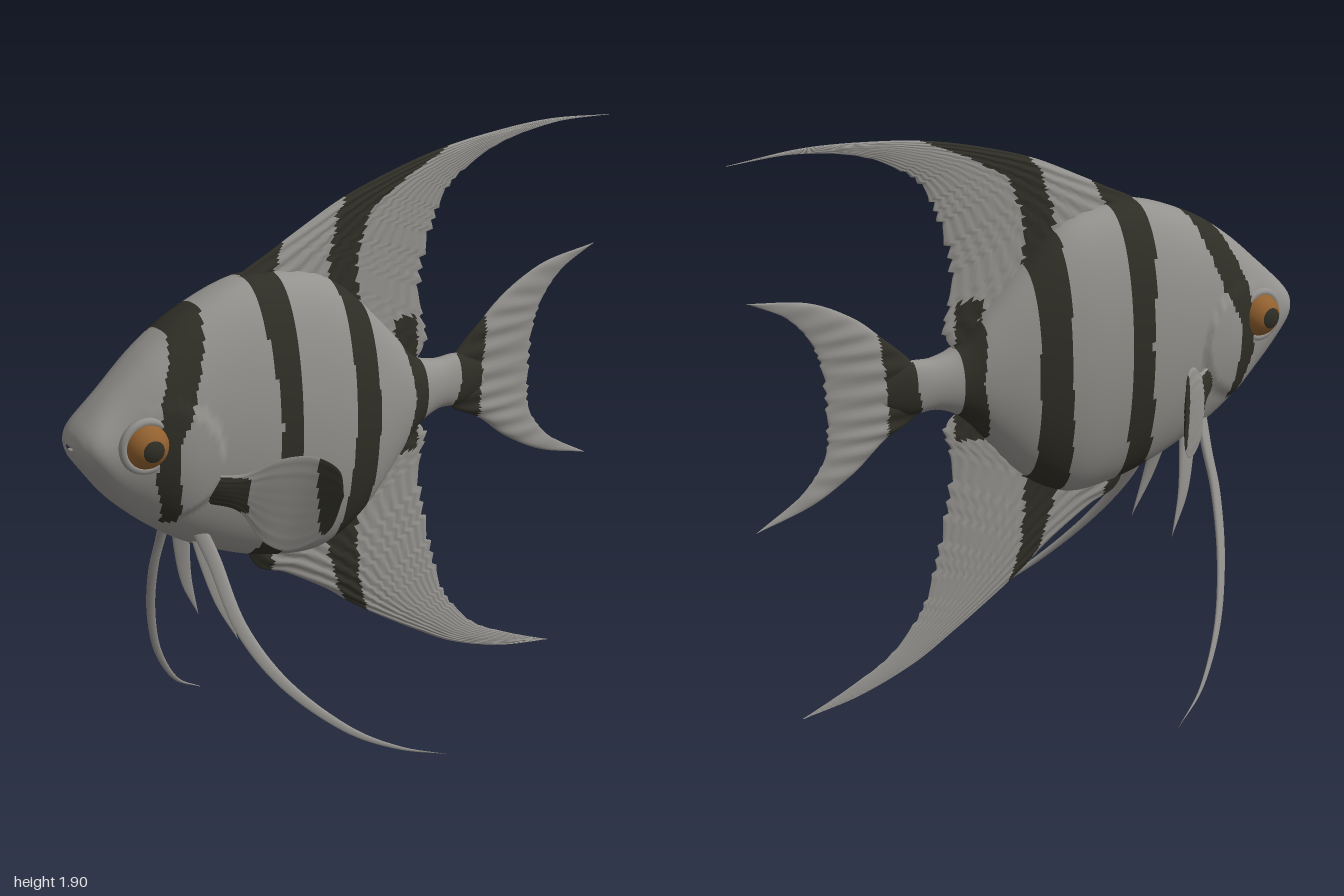
import * as THREE from 'three';

const mat = (name, color) => Object.assign(new THREE.MeshStandardMaterial({ color }), { name });
const V = (x, y, z = 0) => new THREE.Vector3(x, y, z);
const curve = pts => new THREE.CatmullRomCurve3(pts.map(p => V(...p)), false, 'catmullrom', 0.5);
const { lerp, smoothstep } = THREE.MathUtils;

// Dark bands: rows of [y, back-facing edge x, tail-facing edge x], from low to high
const bands = [
  [[0.9, -0.75, -0.7], [1.05, -0.79, -0.72], [1.16, -0.78, -0.72], [1.28, -0.765, -0.66], [1.455, -0.695, -0.6], [1.54, -0.66, -0.57]],
  [[0.58, -0.33, -0.3], [0.7, -0.415, -0.31], [0.9, -0.39, -0.3], [1.15, -0.37, -0.3], [1.4, -0.395, -0.295], [1.57, -0.41, -0.3], [1.67, -0.4, -0.25]],
  [[0.3, 0.08, 0.1], [0.42, -0.01, 0.045], [0.5, -0.06, 0.02], [0.68, -0.115, 0.005], [0.88, -0.1, 0.01], [1.1, -0.085, 0.02], [1.35, -0.09, 0.01], [1.6, -0.1, 0.01], [1.72, -0.06, 0.06], [1.8, 0, 0.2], [1.88, 0.15, 0.38]],
  [[0.9, 0.15, 0.25], [1.1, 0.19, 0.25], [1.35, 0.15, 0.24]],
  [[0.85, 0.36, 0.49], [1.02, 0.375, 0.49], [1.1, 0.395, 0.49], [1.18, 0.4, 0.5], [1.33, 0.42, 0.52]],
];
const isBanded = (x, y) => bands.some(rows => {
  for (let i = 1; i < rows.length; i++) {
    const [a, b] = [rows[i - 1], rows[i]];
    if (y < a[0] || y > b[0]) continue;
    const k = (y - a[0]) / (b[0] - a[0]);
    return x > lerp(a[1], b[1], k) && x < lerp(a[2], b[2], k);
  }
  return false;
});

// Closed rings joined along t; each quad gets the plain or the dark material
function loft(name, nt, nr, point, isDark, materials) {
  const pos = [], lists = [[], []];
  const rows = [];
  for (let i = 0; i <= nt; i++) {
    rows.push([]);
    for (let j = 0; j < nr; j++) {
      const p = point(i / nt, (j / nr) * Math.PI * 2);
      rows[i].push(p);
      pos.push(p.x, p.y, p.z);
    }
  }
  const centre = rows.flat().reduce((s, p) => s.add(p), V(0, 0)).divideScalar(rows.flat().length);
  let volume = 0;
  for (let i = 0; i < nt; i++) for (let j = 0; j < nr; j++) {
    const k = (j + 1) % nr;
    const quad = [rows[i][j], rows[i + 1][j], rows[i + 1][k], rows[i][k]];
    const mid = V(0, 0);
    quad.forEach(p => mid.addScaledVector(p, 0.25));
    const [a, b, c, d] = [i * nr + j, (i + 1) * nr + j, (i + 1) * nr + k, i * nr + k];
    lists[isDark(mid.x, mid.y, mid.z) ? 1 : 0].push(a, b, c, a, c, d);
    const n = quad[2].clone().sub(quad[0]).cross(quad[3].clone().sub(quad[1]));
    volume += n.dot(mid.sub(centre));
  }
  // Turn the faces outward
  if (volume < 0) lists.forEach(l => {
    for (let i = 0; i < l.length; i += 3) [l[i + 1], l[i + 2]] = [l[i + 2], l[i + 1]];
  });
  const g = new THREE.BufferGeometry();
  g.setAttribute('position', new THREE.Float32BufferAttribute(pos, 3));
  g.setIndex([...lists[0], ...lists[1]]);
  g.addGroup(0, lists[0].length, 0);
  g.addGroup(lists[0].length, lists[1].length, 1);
  g.computeVertexNormals();
  const mesh = new THREE.Mesh(g, materials);
  mesh.name = name;
  return mesh;
}

// Thin fin stretched between two edge curves, with ribs and a toothed second edge
function fin(name, edgeA, edgeB, o, materials) {
  const A = curve(edgeA), B = curve(edgeB), normal = V(...o.normal).normalize();
  return loft(name, o.nt, o.nr, (t, a) => {
    let s = (1 - Math.cos(a)) / 2;
    const rib = 1 + 0.22 * Math.sin((o.ribS || 0) * s + (o.ribT || 0) * t);
    const half = o.thick(t) * Math.sin(a) * (1 - 0.5 * s) * rib;
    s *= 1 - (o.teeth || 0) * ((t * 19 + 0.3 * Math.sin(t * 40) + 1) % 1) * Math.sin(Math.PI * t);
    return A.getPoint(t).lerp(B.getPoint(t), s).addScaledVector(normal, half);
  }, o.isDark || (() => false), materials);
}

export function createModel() {
  const fish = new THREE.Group();
  fish.name = 'angelfish';
  const grey = mat('silver grey', 0x94928e), dark = mat('dark band', 0x2f2e26);
  const orange = mat('orange iris', 0x91602f);
  const skin = [grey, dark];

  // Body stations: x, top, bottom, half width
  const stations = [
    [-1, 1.175, 1.155, 0.02], [-0.985, 1.21, 1.12, 0.07], [-0.95, 1.25, 1.07, 0.105], [-0.87, 1.325, 0.97, 0.122],
    [-0.74, 1.435, 0.86, 0.158], [-0.6, 1.52, 0.775, 0.174], [-0.4, 1.585, 0.695, 0.184], [-0.2, 1.57, 0.66, 0.176],
    [-0.08, 1.52, 0.69, 0.16], [0.03, 1.425, 0.765, 0.136], [0.14, 1.31, 0.885, 0.104], [0.23, 1.215, 0.98, 0.074],
    [0.32, 1.185, 1.02, 0.054], [0.42, 1.185, 1.02, 0.038], [0.54, 1.13, 1.07, 0.008],
  ];
  const topLine = curve(stations.map(([x, top, , w]) => [x, top, w]));
  const bottomLine = curve(stations.map(([x, , low]) => [x, low, 0]));
  // The gill cover is a raised step behind the eye
  const gill = (x, y) => Math.hypot((x + 0.75) / 0.17, (y - 1.1) / 0.185) < 1 ? 0.013 * smoothstep(x, -0.85, -0.65) : 0;
  fish.add(loft('body', 220, 100, (t, a) => {
    const p = topLine.getPoint(t), low = bottomLine.getPoint(t).y;
    const y = (p.y + low) / 2 + (p.y - low) / 2 * Math.sin(a), c = Math.cos(a);
    return V(p.x, y, Math.sign(c) * (p.z * Math.abs(c) ** 0.82 + gill(p.x, y) * Math.min(1, Math.abs(c) * 3)));
  }, isBanded, skin));

  // Lips
  [['upperLip', -0.965, 1.178, 0.3], ['lowerLip', -0.955, 1.12, -0.4]].forEach(([name, x, y, tilt]) => {
    const lip = new THREE.Mesh(new THREE.SphereGeometry(1, 24, 16), grey);
    lip.name = name;
    lip.scale.set(0.035, 0.022, 0.085);
    lip.position.set(x, y, 0);
    lip.rotation.z = tilt;
    fish.add(lip);
  });

  // Upright fins: back, belly and tail
  const upright = { nt: 80, nr: 96, normal: [0, 0, 1], isDark: isBanded, teeth: 0.07 };
  const tapered = { ...upright, ribS: 75, ribT: -22, thick: t => 0.036 * (1 - t) + 0.003 };
  fish.add(fin('dorsalFin',
    [[-0.5, 1.5], [-0.42, 1.58], [-0.3, 1.64], [-0.2, 1.69], [-0.05, 1.76], [0.1, 1.81], [0.3, 1.86], [0.5, 1.887], [0.75, 1.9], [1, 1.88]],
    [[0.18, 1.15], [0.29, 1.24], [0.27, 1.37], [0.28, 1.5], [0.31, 1.62], [0.35, 1.71], [0.42, 1.78], [0.57, 1.85], [0.78, 1.885], [1, 1.88]],
    tapered, skin));
  fish.add(fin('analFin',
    [[-0.42, 0.78], [-0.36, 0.64], [-0.25, 0.59], [-0.1, 0.5], [0, 0.425], [0.1, 0.36], [0.25, 0.27], [0.4, 0.19], [0.6, 0.125], [0.8, 0.095]],
    [[0.18, 1.02], [0.29, 0.96], [0.27, 0.85], [0.29, 0.7], [0.315, 0.56], [0.35, 0.43], [0.4, 0.33], [0.5, 0.23], [0.65, 0.155], [0.8, 0.095]],
    tapered, skin));
  fish.add(fin('tailFin',
    [[0.95, 1.46], [0.75, 1.43], [0.6, 1.36], [0.5, 1.28], [0.4, 1.19], [0.34, 1.1], [0.38, 1.015], [0.5, 0.95], [0.6, 0.87], [0.75, 0.79], [0.94, 0.74]],
    [[0.95, 1.46], [0.83, 1.4], [0.76, 1.33], [0.73, 1.27], [0.71, 1.2], [0.7, 1.1], [0.7, 1.02], [0.7, 0.95], [0.74, 0.88], [0.8, 0.82], [0.94, 0.74]],
    { ...upright, teeth: 0.05, ribT: 80, thick: t => 0.003 + 0.02 * Math.sin(Math.PI * t) }, skin));

  // Trailing feelers differ a little from side to side
  const feelers = {
    left: [[-0.62, 0.86, 0.08], [-0.59, 0.75, 0.13], [-0.56, 0.56, 0.23], [-0.47, 0.39, 0.33], [-0.31, 0.235, 0.42], [-0.15, 0.145, 0.47], [0.016, 0.09, 0.505]],
    right: [[-0.63, 0.86, -0.08], [-0.615, 0.75, -0.14], [-0.61, 0.62, -0.2], [-0.57, 0.44, -0.29], [-0.5, 0.25, -0.375], [-0.39, 0.09, -0.45], [-0.26, 0.003, -0.51]],
  };
  const blade = (name, path, width, side) => {
    const edge = k => path.map(([x, y, z], i) => {
      const w = k * width * (1 - (i / (path.length - 1)) ** 2);
      return [x + w, y + w * 0.5, z];
    });
    return fin(name, edge(1), edge(-1), { nt: 48, nr: 16, normal: [0, 0.5, side], thick: t => 0.016 * (1 - t) + 0.002 }, skin);
  };

  for (const [name, side] of [['left', 1], ['right', -1]]) {
    const flip = pts => pts.map(([x, y, z]) => [x, y, z * side]);
    fish.add(blade(name + 'Feeler', feelers[name], 0.021, side));
    fish.add(blade(name + 'PelvicFin', flip([[-0.6, 0.86, 0.05], [-0.58, 0.74, 0.075], [-0.55, 0.6, 0.1], [-0.5, 0.465, 0.115]]), 0.032, side));

    // Side fins
    fish.add(fin(name + 'PectoralFin',
      flip([[-0.62, 1.04, 0.14], [-0.53, 1.045, 0.21], [-0.45, 1.1, 0.29], [-0.38, 1.115, 0.36], [-0.33, 1.08, 0.42], [-0.32, 1, 0.43]]),
      flip([[-0.62, 0.95, 0.14], [-0.55, 0.93, 0.21], [-0.5, 0.84, 0.26], [-0.43, 0.81, 0.31], [-0.35, 0.88, 0.39], [-0.32, 1, 0.43]]),
      {
        nt: 56, nr: 48, normal: [0.67, 0, -0.74 * side], ribS: 45, thick: t => 0.016 * (1 - t) + 0.003,
        isDark: (x, y, z) => (Math.abs(z) > 0.375 && y > 0.87) || (Math.abs(z) < 0.235 && y > 0.93 && y < 1.035),
      }, skin));

    // Eyes: socket rim, iris and pupil cap
    const eye = new THREE.Group();
    eye.name = name + 'Eye';
    const rim = new THREE.Mesh(new THREE.TorusGeometry(0.074, 0.014, 10, 40), grey);
    rim.name = 'socketRim';
    rim.position.z = 0.01;
    const iris = new THREE.Mesh(new THREE.SphereGeometry(0.071, 32, 20), orange);
    iris.name = 'iris';
    const pupil = new THREE.Mesh(new THREE.SphereGeometry(0.074, 32, 10, 0, Math.PI * 2, 0, 0.47).rotateX(Math.PI / 2), dark);
    pupil.name = 'pupil';
    eye.add(rim, iris, pupil);
    eye.position.set(-0.815, 1.17, 0.122 * side);
    eye.rotation.y = side > 0 ? -0.12 : Math.PI + 0.12;
    fish.add(eye);
  }
  return fish;
}
